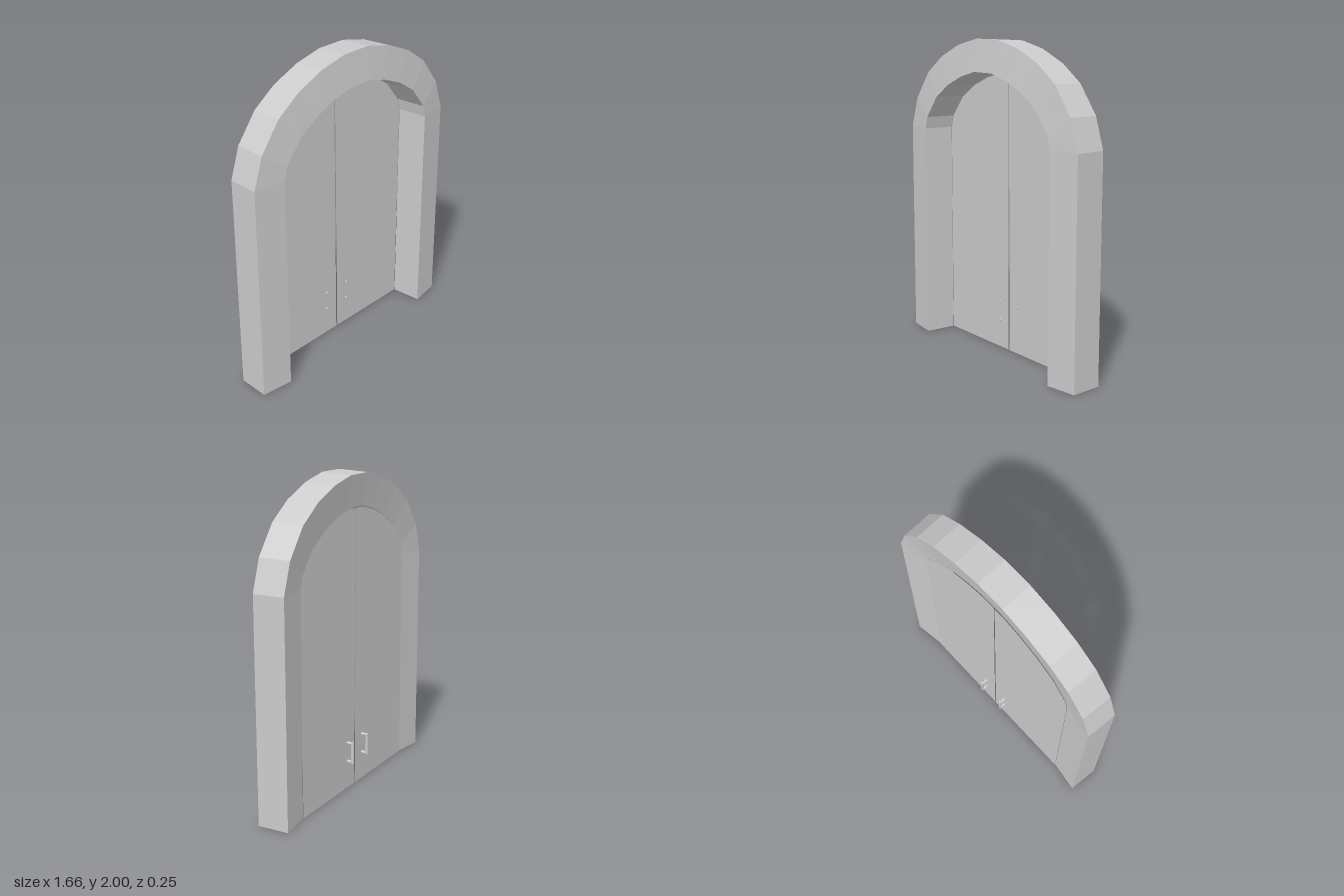
import * as THREE from 'three';

const material = new THREE.MeshStandardMaterial({
  color: 0xcccccc, flatShading: true, side: THREE.DoubleSide,
});

// Half outlines on the +x side, from the floor to the crown
const OUTER = [[0.83, 0], [0.83, 1.4], [0.765, 1.594], [0.63, 1.77], [0.475, 1.878], [0.29, 1.957], [0.1, 2]];
const INNER = [[0.628, 0], [0.628, 1.4], [0.608, 1.478], [0.495, 1.62], [0.363, 1.706], [0.225, 1.764], [0.087, 1.8]];
const SPRING = 1.4; // height where the arch starts
const DOOR_Z = -0.078;

// Narrow an outline in x, and flatten only its arch in y
const shrink = (pts, sx, sy) =>
  pts.map(([x, y]) => [x * sx, y > SPRING ? SPRING + (y - SPRING) * sy : y]);

const mirror = (pts) => [...pts, ...pts.map(([x, y]) => [-x, y]).reverse()];

// Hollow arch: a tilted rectangular section carried along the outlines, open at the floor
function archFrame() {
  const rails = [
    [OUTER, 0.096],
    [INNER, 0.125],
    [shrink(INNER, 0.98, 0.977), -0.075],
    [shrink(OUTER, 0.988, 0.985), -0.104],
  ].map(([pts, z]) => mirror(pts).map(([x, y]) => [x, y, z]));

  const positions = [];
  for (let i = 0; i < rails[0].length - 1; i++) {
    for (let k = 0; k < 4; k++) {
      const a = rails[k], b = rails[(k + 1) % 4];
      positions.push(...a[i], ...a[i + 1], ...b[i + 1], ...a[i], ...b[i + 1], ...b[i]);
    }
  }
  const geometry = new THREE.BufferGeometry();
  geometry.setAttribute('position', new THREE.Float32BufferAttribute(positions, 3));
  geometry.computeVertexNormals();
  const mesh = new THREE.Mesh(geometry, material);
  mesh.name = 'archFrame';
  return mesh;
}

// Thin door leaf; its meeting edge leans slightly
function doorLeaf(side, footX, topX) {
  const arch = shrink(INNER, 0.98, 0.96).map(([x, y]) => [x * side, y]);
  const crown = arch[arch.length - 1][1];
  const outline = [[footX, 0], ...arch, [topX, crown]];
  const shape = new THREE.Shape(outline.map(([x, y]) => new THREE.Vector2(x, y)));
  const mesh = new THREE.Mesh(new THREE.ShapeGeometry(shape), material);
  mesh.position.z = DOOR_Z;
  return mesh;
}

// Pull handle on the back: two posts through the door and an upright bar
function pullHandle(x) {
  const group = new THREE.Group();
  const r = 0.01, low = 0.182, high = 0.307, barZ = -0.116;
  for (const y of [low, high]) {
    const front = -0.07;
    const post = new THREE.Mesh(new THREE.CylinderGeometry(r, r, front - barZ, 8), material);
    post.rotation.x = Math.PI / 2;
    post.position.set(x, y, (front + barZ) / 2);
    post.name = 'handlePost';
    group.add(post);
  }
  const bar = new THREE.Mesh(new THREE.CylinderGeometry(r, r, high - low + 0.016, 8), material);
  bar.position.set(x, (low + high) / 2, barZ);
  bar.name = 'handleBar';
  group.add(bar);
  return group;
}

export function createModel() {
  const model = new THREE.Group();
  model.name = 'archedDoorway';
  model.add(archFrame());

  const leftDoor = doorLeaf(1, 0.014, 0.001);
  leftDoor.name = 'leftDoor';
  const rightDoor = doorLeaf(-1, 0.004, -0.005);
  rightDoor.name = 'rightDoor';

  const leftHandle = pullHandle(0.099);
  leftHandle.name = 'leftHandle';
  const rightHandle = pullHandle(-0.085);
  rightHandle.name = 'rightHandle';

  model.add(leftDoor, rightDoor, leftHandle, rightHandle);
  return model;
}
